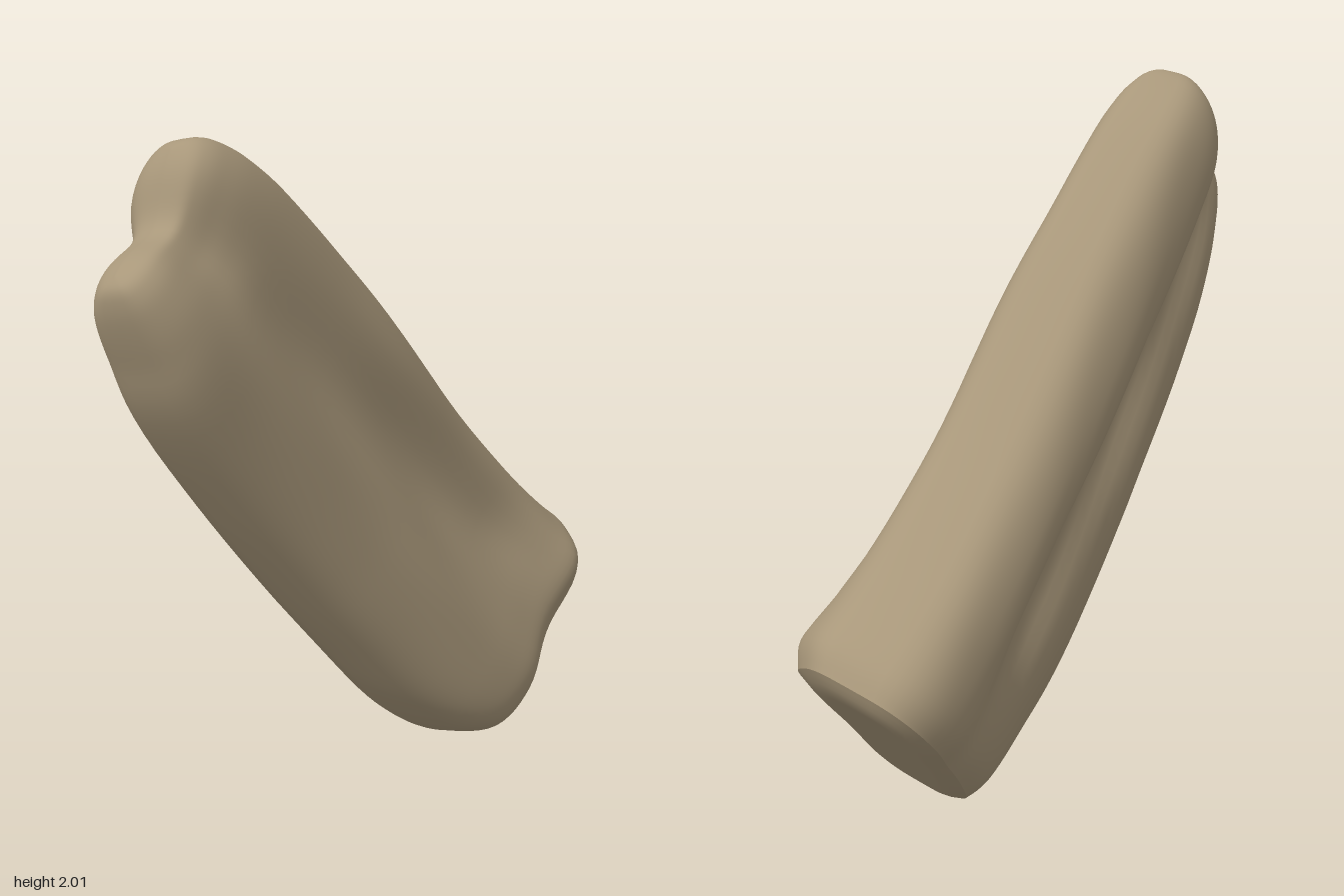
import * as THREE from 'three';
import { mergeVertices } from 'three/addons/utils/BufferGeometryUtils.js';

// Cross-section stations along the limb:
// t (along axis), vTop, vBot (extent across both lobes), half width, centre x, groove depth
const BODY = [
  [-1.145, 0.215, -0.17, 0, -0.34, 0.2],
  [-1.134, 0.25, -0.205, 0.075, -0.338, 0.3],
  [-1.105, 0.282, -0.232, 0.12, -0.334, 0.38],
  [-1.05, 0.31, -0.262, 0.153, -0.325, 0.4],
  [-0.95, 0.338, -0.302, 0.178, -0.303, 0.38],
  [-0.78, 0.358, -0.36, 0.192, -0.265, 0.35],
  [-0.42, 0.358, -0.412, 0.203, -0.18, 0.34],
  [-0.06, 0.337, -0.455, 0.21, -0.09, 0.34],
  [0.26, 0.317, -0.49, 0.217, 0.0, 0.32],
  [0.56, 0.313, -0.518, 0.225, 0.09, 0.26],
  [0.75, 0.322, -0.507, 0.227, 0.155, 0.2],
  [0.88, 0.335, -0.468, 0.22, 0.2, 0.16],
  [0.955, 0.32, -0.42, 0.19, 0.22, 0.12],
];
// Nearly flat face closing the broad end
const END = [
  BODY[BODY.length - 1],
  [0.98, 0.26, -0.35, 0.14, 0.22, 0.1],
  [0.985, 0.15, -0.24, 0.08, 0.215, 0.05],
  [0.985, 0.0, -0.08, 0, 0.21, 0],
];
const SIDES = 64;
const { smoothstep } = THREE.MathUtils;
const bump = (x, centre, spread) => Math.exp(-(((x - centre) / spread) ** 2));

// Smooth in-between stations
function refine(rows, steps) {
  const out = [];
  const cr = (a, b, c, d, s) =>
    0.5 * (2 * b + (c - a) * s + (2 * a - 5 * b + 4 * c - d) * s * s + (3 * b - a - 3 * c + d) * s ** 3);
  for (let i = 0; i < rows.length - 1; i++) {
    const a = rows[Math.max(i - 1, 0)], b = rows[i], c = rows[i + 1];
    const d = rows[Math.min(i + 2, rows.length - 1)];
    for (let k = 0; k < steps; k++) out.push(b.map((_, n) => cr(a[n], b[n], c[n], d[n], k / steps)));
  }
  out.push(rows[rows.length - 1]);
  return out;
}

// One point of a two-lobed section, placed on the leaning axis
function point([t, vTop, vBot, width, cx, groove], angle) {
  const v = (vTop + vBot) / 2 + ((vTop - vBot) / 2) * Math.cos(angle);
  const sin = Math.sin(angle);
  const left = sin > 0;
  // broad hollow on the left side, tighter crease on the right that fades at the blunt end
  const crease = left
    ? bump(v, 0.02, 0.15)
    : 0.92 * bump(v, -0.04, 0.11) * (1 - smoothstep(t, 0.5, 0.95));
  // both lobes swell sideways; the upper flares to a left corner at the blunt end
  const swell = left
    ? 0.16 * smoothstep(v, 0.05, 0.22) * smoothstep(t, -0.8, -0.1) +
      0.08 * smoothstep(-v, 0.12, 0.3) * smoothstep(t, -0.3, 0.4) +
      0.36 * smoothstep(t, 0.45, 0.93) * bump(v, 0.1, 0.14)
    : 0.14 * smoothstep(v, -0.02, 0.15);
  const lumps = 0.02 * Math.sin(t * 9 + v * 12) * Math.sin(angle * 3);
  const w = Math.sign(sin) * Math.abs(sin) ** 0.55 * width * (1 - groove * crease + swell + lumps);
  // notch between the two rounded tips, and a slanted blunt end
  const notch = 0.075 * bump(v, 0.03, 0.11) * smoothstep(-t, 0.75, 1.1);
  const tt = t + notch - 0.12 * w * smoothstep(t, 0.7, 0.95);
  const skew = 0.1 - 0.06 * Math.max(t, 0) - 0.05 * smoothstep(-t, 0.6, 1);
  return [
    cx + skew * v + 0.95 * w,
    1 - 0.73 * tt + 0.68 * v + 0.2 * w,
    -0.68 * tt - 0.73 * v + 0.19 * w,
  ];
}

function loft(rows) {
  const pos = [], index = [];
  rows.forEach((row, i) => {
    for (let j = 0; j < SIDES; j++) {
      pos.push(...point(row, (j / SIDES) * Math.PI * 2));
      if (i === rows.length - 1) continue;
      const a = i * SIDES + j, b = i * SIDES + ((j + 1) % SIDES);
      index.push(a, b, a + SIDES, b, b + SIDES, a + SIDES);
    }
  });
  const geo = new THREE.BufferGeometry();
  geo.setAttribute('position', new THREE.Float32BufferAttribute(pos, 3));
  geo.setIndex(index);
  // weld the closing seam so the shading runs across it
  const welded = mergeVertices(geo, 1e-4);
  welded.computeVertexNormals();
  return welded;
}

export function createModel() {
  const group = new THREE.Group();
  group.name = 'twoLobedLimb';
  const tan = new THREE.MeshStandardMaterial({ color: 0xa8977a });
  tan.name = 'tan';

  // Grooved body with two rounded tips
  const body = new THREE.Mesh(loft(refine(BODY, 5)), tan);
  body.name = 'lobedBody';

  // Blunt end with a crisp rim
  const end = new THREE.Mesh(loft(refine(END, 3)), tan);
  end.name = 'bluntEnd';

  group.add(body, end);
  return group;
}
